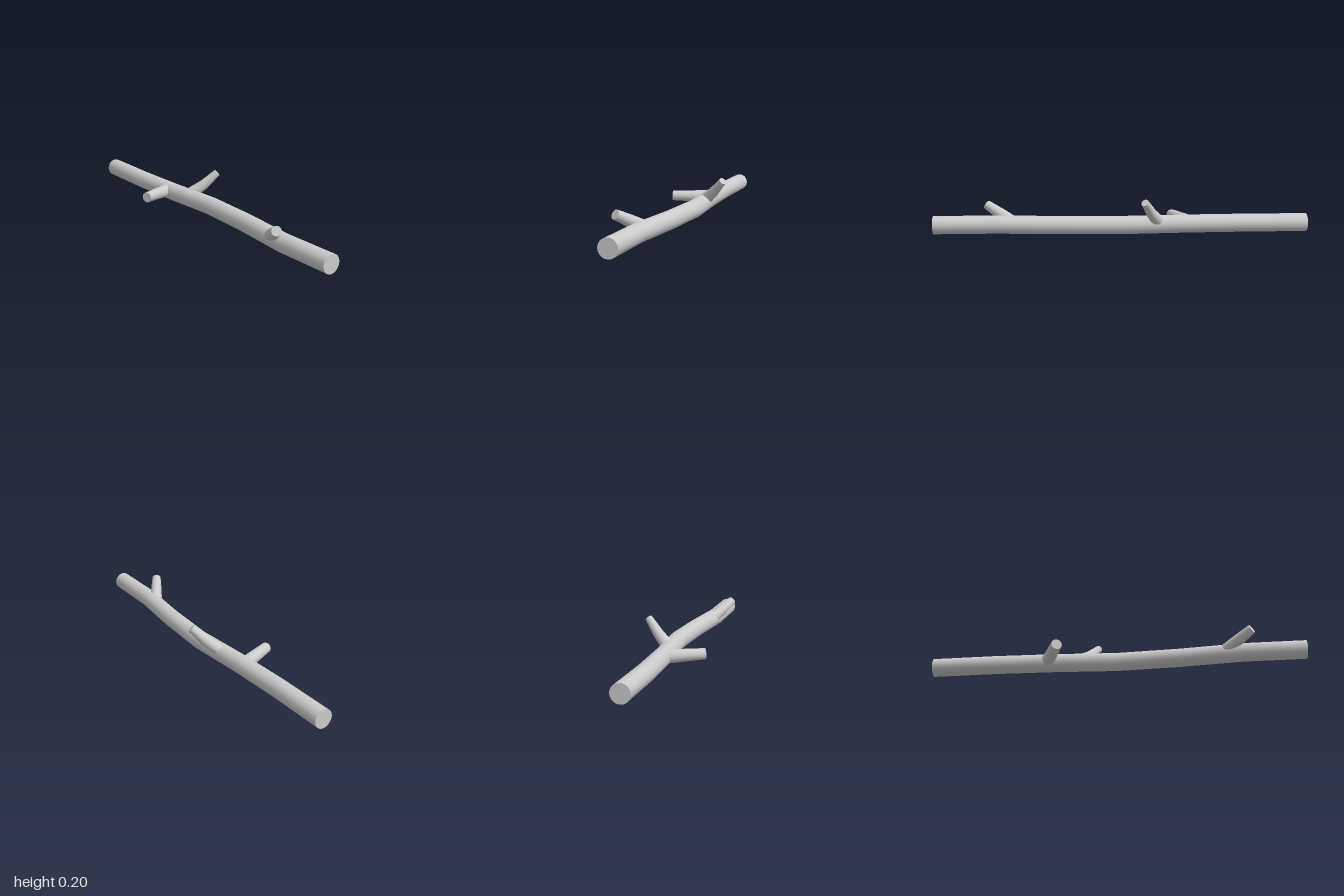
import * as THREE from 'three';

const material = new THREE.MeshStandardMaterial({ color: 0xcccccc });

// Bends a unit cylinder along path rows [x, y, z, radius]; a fixed axis keeps all rings parallel
function limb(name, rows, sides, axis) {
  const last = rows.length - 1;
  const points = rows.map(([x, y, z]) => new THREE.Vector3(x, y, z));
  const geometry = new THREE.CylinderGeometry(1, 1, 1, sides, last);
  const frames = points.map((p, i) => {
    const t = axis ? axis.clone() : points[Math.min(i + 1, last)].clone().sub(points[Math.max(i - 1, 0)]).normalize();
    const u = new THREE.Vector3(0, 1, 0).cross(t).normalize();
    return { u, v: u.clone().cross(t) };
  });
  const pos = geometry.attributes.position;
  for (let i = 0; i < pos.count; i++) {
    const k = Math.round((pos.getY(i) + 0.5) * last);
    const r = rows[k][3];
    const p = points[k].clone()
      .addScaledVector(frames[k].u, pos.getX(i) * r)
      .addScaledVector(frames[k].v, pos.getZ(i) * r);
    pos.setXYZ(i, p.x, p.y, p.z);
  }
  geometry.computeVertexNormals();
  const mesh = new THREE.Mesh(geometry, material);
  mesh.name = name;
  return mesh;
}

export function createModel() {
  const group = new THREE.Group();
  group.name = 'branch';

  // Main stem, gently winding in the horizontal plane
  const bends = [-0.044, -0.032, -0.032, -0.044, -0.017, 0.026, 0.036];
  const stem = bends.map((z, i) => [-1 + i / 3, 0.05, z, 0.049]);
  group.add(limb('stem', stem, 20, new THREE.Vector3(1, 0, 0)));

  // Short tapered, cut-off twigs
  group.add(limb('frontTwig', [
    [-0.37, 0.056, -0.015, 0.036], [-0.335, 0.06, 0.075, 0.032], [-0.295, 0.064, 0.175, 0.028],
  ], 20));
  group.add(limb('backTwig', [
    [-0.195, 0.07, -0.05, 0.034], [-0.153, 0.12, -0.108, 0.028], [-0.11, 0.19, -0.172, 0.02],
  ], 20));
  group.add(limb('leftTwig', [
    [0.585, 0.065, 0.032, 0.034], [0.645, 0.1, 0.07, 0.031], [0.718, 0.142, 0.116, 0.025],
  ], 20));

  return group;
}
